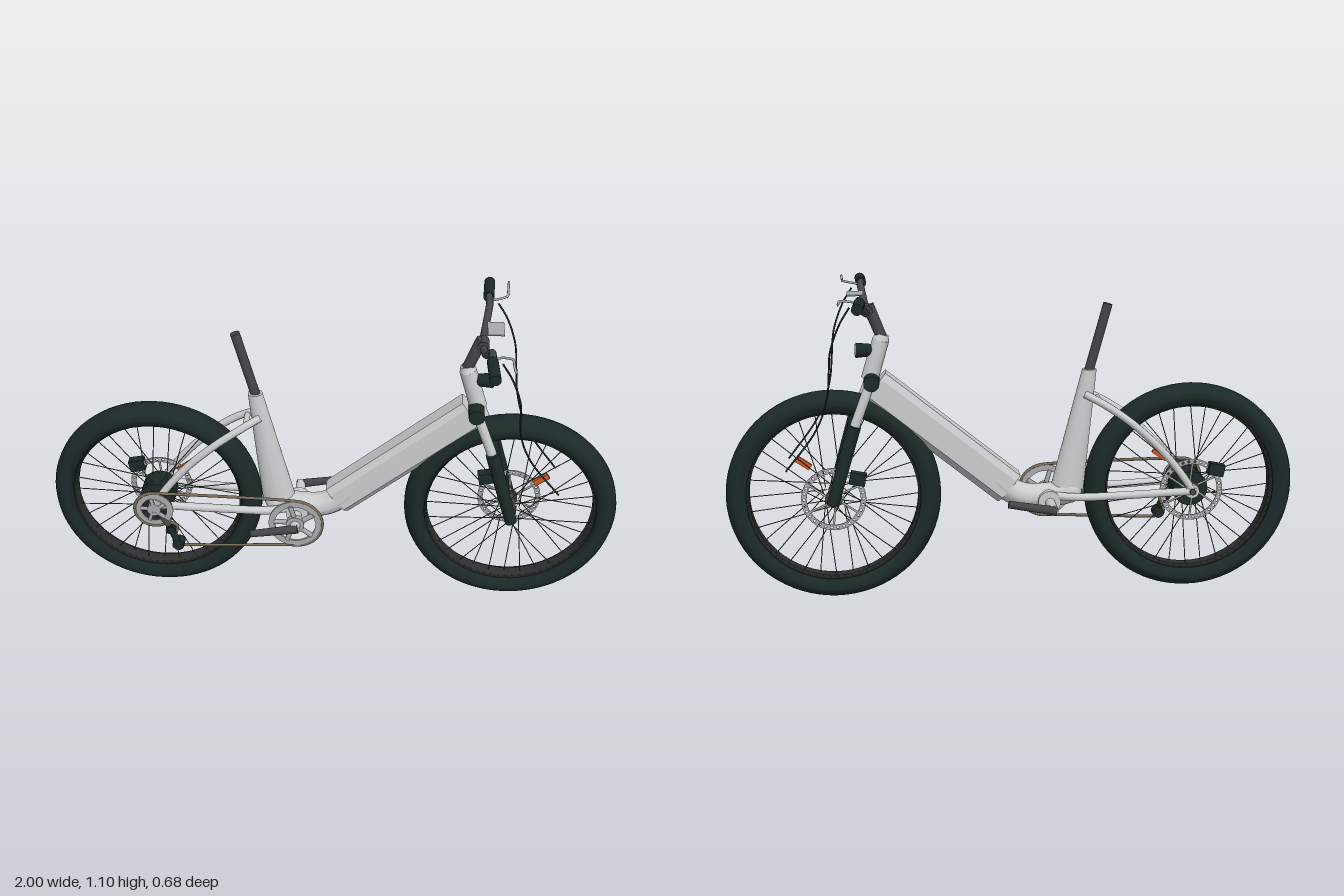
import * as THREE from 'three';

const V = (x, y, z) => new THREE.Vector3(x, y, z);
const mat = (name, color, side = THREE.FrontSide) => {
  const m = new THREE.MeshStandardMaterial({ color, side });
  m.name = name;
  return m;
};

export function createModel() {
  const frameGrey = mat('frame light grey', 0xcbcdce);
  const rubber = mat('rubber black', 0x1c2929);
  const darkGrey = mat('dark grey metal', 0x434548);
  const silver = mat('silver', 0xa9abac);
  const rimMat = mat('rim black', 0x2e2f2f);
  const spokeMat = mat('spoke grey', 0x56595a);
  const chainMat = mat('chain brass', 0x746a55);
  const orange = mat('reflector orange', 0xd4561c);

  const model = new THREE.Group();
  model.name = 'bicycle';

  const add = (name, geo, m, parent = model) => {
    const mesh = new THREE.Mesh(geo, m);
    mesh.name = name;
    parent.add(mesh);
    return mesh;
  };
  // Cylinder running from a to b
  const rod = (name, a, b, ra, rb, m, parent = model, seg = 20) => {
    const d = b.clone().sub(a);
    const mesh = add(name, new THREE.CylinderGeometry(rb, ra, d.length(), seg), m, parent);
    mesh.position.copy(a).add(b).multiplyScalar(0.5);
    mesh.quaternion.setFromUnitVectors(V(0, 1, 0), d.normalize());
    return mesh;
  };
  const tube = (name, pts, r, m, parent = model, seg = 40, closed = false) =>
    add(name, new THREE.TubeGeometry(new THREE.CatmullRomCurve3(pts, closed, 'centripetal'), seg, r, 10, closed), m, parent);
  // Flat ring in the xy plane, optionally drilled
  const ring = (name, rOut, rIn, depth, z, m, parent, holes = 0, holeR = 0) => {
    const s = new THREE.Shape().absarc(0, 0, rOut, 0, Math.PI * 2);
    s.holes.push(new THREE.Path().absarc(0, 0, rIn, 0, Math.PI * 2, true));
    for (let i = 0; i < holes; i++) {
      const a = (i / holes) * Math.PI * 2, r = (rOut + rIn) / 2;
      s.holes.push(new THREE.Path().absarc(Math.cos(a) * r, Math.sin(a) * r, holeR, 0, Math.PI * 2, true));
    }
    const g = new THREE.ExtrudeGeometry(s, { depth, bevelEnabled: false, curveSegments: 24 });
    return add(name, g.translate(0, 0, z - depth / 2), m, parent);
  };
  const arms = (name, n, r0, r1, r, z, m, parent) => {
    for (let i = 0; i < n; i++) {
      const a = (i / n) * Math.PI * 2 + 0.3;
      rod(name, V(Math.cos(a) * r0, Math.sin(a) * r0, z), V(Math.cos(a + 0.25) * r1, Math.sin(a + 0.25) * r1, z), r, r, m, parent, 6);
    }
  };
  const lathe = (name, pts, m, parent) =>
    add(name, new THREE.LatheGeometry(pts.map(p => new THREE.Vector2(...p)), 72).rotateX(Math.PI / 2), m, parent);

  // Wheels: tyre, rim, spokes, hub, brake disc, caliper, reflector
  const AX = 0.627, AY = 0.374;
  for (const side of [-1, 1]) {
    const w = new THREE.Group();
    w.name = side > 0 ? 'frontWheel' : 'rearWheel';
    w.position.set(side * AX, AY, 0);
    model.add(w);
    lathe('tyre', [[0.302, -0.036], [0.318, -0.047], [0.335, -0.052], [0.352, -0.046], [0.366, -0.029], [0.373, -0.01],
      [0.373, 0.01], [0.366, 0.029], [0.352, 0.046], [0.335, 0.052], [0.318, 0.047], [0.302, 0.036], [0.302, -0.036]], rubber, w);
    lathe('rim', [[0.293, -0.02], [0.306, -0.036], [0.306, 0.036], [0.293, 0.02], [0.293, -0.02]], rimMat, w);
    for (let i = 0; i < 32; i++) {
      const a = (i / 32) * Math.PI * 2, z = i % 2 ? 0.032 : -0.032;
      const b = a + (i % 4 < 2 ? 0.9 : -0.9);
      rod('spoke', V(Math.cos(b) * 0.035, Math.sin(b) * 0.035, z), V(Math.cos(a) * 0.297, Math.sin(a) * 0.297, z * 0.2), 0.0018, 0.0018, spokeMat, w, 5);
    }
    const hubR = side > 0 ? 0.022 : 0.062;
    rod('hub', V(0, 0, -0.046), V(0, 0, 0.042), hubR, hubR, side > 0 ? darkGrey : rubber, w, 32);
    rod('axle', V(0, 0, -0.095), V(0, 0, 0.095), 0.011, 0.011, darkGrey, w);
    ring('brakeDisc', 0.112, 0.093, 0.004, -0.058, silver, w, 30, 0.0045);
    arms('brakeDiscArm', 6, 0.02, 0.095, 0.004, -0.058, silver, w);
    rod('brakeDiscCentre', V(0, 0, -0.062), V(0, 0, -0.045), 0.03, 0.03, darkGrey, w);
    const caliper = add('brakeCaliper', new THREE.BoxGeometry(0.055, 0.042, 0.035), rubber, w);
    caliper.position.set(-0.085, 0.075, -0.066);
    caliper.rotation.z = 0.2;
    const refl = add('reflector', new THREE.BoxGeometry(0.058, 0.022, 0.012), orange, w);
    refl.position.set(0.103, 0.117, 0);
    refl.rotation.z = 0.62;
  }

  // Down tube: chamfered section swept along its axis
  const hw = 0.042, hh = 0.062, c = 0.024;
  const sec = new THREE.Shape([[-hw, -hh + c], [-hw + c, -hh], [hw - c, -hh], [hw, -hh + c], [hw, hh - c], [hw - 0.01, hh], [-hw + 0.01, hh], [-hw, hh - c]]
    .map(p => new THREE.Vector2(...p)));
  const p0 = V(0.015, 0.385, 0), p1 = V(0.478, 0.762, 0), len = p0.distanceTo(p1);
  const down = add('downTube', new THREE.ExtrudeGeometry(sec, { depth: len, bevelEnabled: false }).rotateY(Math.PI / 2), frameGrey);
  down.position.copy(p0);
  down.rotation.z = Math.atan2(p1.y - p0.y, p1.x - p0.x);

  // Bottom bend and bracket shell
  tube('bottomBend', [V(-0.2, 0.365, 0), V(-0.12, 0.35, 0), V(-0.04, 0.352, 0), V(0.01, 0.375, 0), V(0.06, 0.42, 0)], 0.045, frameGrey);
  add('bendCap', new THREE.SphereGeometry(0.045, 20, 14), frameGrey).position.set(-0.2, 0.365, 0);
  rod('bracketShell', V(-0.125, 0.34, -0.055), V(-0.125, 0.34, 0.055), 0.04, 0.04, frameGrey);

  // Seat tube, flattened sideways and widening downwards, with the post
  const seatTube = new THREE.CylinderGeometry(0.025, 0.06, 0.43, 28);
  const sp = seatTube.attributes.position;
  for (let i = 0; i < sp.count; i++) {
    const t = 0.5 - sp.getY(i) / 0.43;
    sp.setXYZ(i, sp.getX(i) - 0.267 + t * 0.075, sp.getY(i) + 0.59, sp.getZ(i) * (1 - 0.35 * t));
  }
  seatTube.computeVertexNormals();
  add('seatTube', seatTube, frameGrey);
  rod('seatPost', V(-0.255, 0.76, 0), V(-0.328, 1.033, 0), 0.0165, 0.0165, darkGrey);

  // Mirrored parts: stays, fork legs, grips, levers, cables
  for (const s of [-1, 1]) {
    tube('seatStay', [V(-0.25, 0.72, s * 0.025), V(-0.31, 0.69, s * 0.05), V(-0.4, 0.63, s * 0.066), V(-0.5, 0.54, s * 0.068), V(-0.57, 0.46, s * 0.07), V(-0.63, 0.376, s * 0.074)], 0.0135, frameGrey);
    tube('chainStay', [V(-0.14, 0.358, s * 0.035), V(-0.22, 0.358, s * 0.062), V(-0.4, 0.363, s * 0.069), V(-0.64, 0.374, s * 0.076)], 0.0145, frameGrey);
    rod('dropout', V(-AX, AY, s * 0.068), V(-AX, AY, s * 0.084), 0.025, 0.025, frameGrey);

    rod('forkStanchion', V(0.49, 0.785, s * 0.062), V(0.56, 0.6, s * 0.07), 0.017, 0.017, frameGrey);
    rod('forkLowerLeg', V(0.549, 0.637, s * 0.075), V(0.63, 0.36, s * 0.079), 0.024, 0.021, rubber);

    rod('grip', V(0.517, 1.083, s * 0.222), V(0.523, 1.082, s * 0.34), 0.0185, 0.0185, rubber);
    tube('brakeLever', [V(0.525, 1.082, s * 0.2), V(0.555, 1.087, s * 0.203), V(0.58, 1.09, s * 0.218), V(0.584, 1.087, s * 0.26), V(0.588, 1.094, s * 0.32)], 0.004, silver);
    tube('brakeCable', [V(0.55, 1.068, s * 0.207), V(0.585, 1.01, s * 0.206), V(0.617, 0.92, s * 0.193), V(0.625, 0.84, s * 0.166), V(0.632, 0.765, s * 0.136),
      V(0.655, 0.68, s * 0.11), V(0.69, 0.61, s * 0.097), V(0.785, 0.485, s * 0.083)], 0.0032, rubber, model, 60);
  }
  rod('stayBridge', V(-0.3, 0.695, -0.05), V(-0.3, 0.695, 0.05), 0.01, 0.01, frameGrey);

  // Head tube, fork crown, stem and handlebar
  rod('headTube', V(0.493, 0.785, 0), V(0.452, 0.92, 0), 0.03, 0.029, frameGrey);
  rod('headTubeCollar', V(0.452, 0.92, 0), V(0.447, 0.94, 0), 0.029, 0.022, frameGrey);
  rod('forkCrown', V(0.487, 0.783, -0.081), V(0.487, 0.783, 0.081), 0.027, 0.027, rubber);
  rod('stem', V(0.447, 0.925, 0), V(0.492, 1.04, 0), 0.019, 0.02, darkGrey);
  rod('barClamp', V(0.497, 1.022, -0.025), V(0.497, 1.022, 0.025), 0.02, 0.02, darkGrey);
  const half = [[0.499, 1.021, 0.05], [0.505, 1.033, 0.095], [0.512, 1.058, 0.13], [0.518, 1.082, 0.165], [0.518, 1.087, 0.195], [0.518, 1.083, 0.25]];
  tube('handlebar', [...half.slice().reverse().map(p => V(p[0], p[1], -p[2])), V(0.498, 1.018, 0), ...half.map(p => V(...p))], 0.0125, darkGrey, model, 80);
  add('displayPlate', new THREE.BoxGeometry(0.055, 0.004, 0.09), silver).position.set(0.535, 1.08, 0);

  // Headlight
  rod('headlight', V(0.475, 0.885, 0), V(0.538, 0.885, 0), 0.02, 0.026, rubber, model, 28);
  rod('headlightLens', V(0.537, 0.885, 0), V(0.541, 0.885, 0), 0.022, 0.022, frameGrey, model, 28);

  // Chainring and cranks
  const crank = new THREE.Group();
  crank.name = 'crankset';
  crank.position.set(-0.127, 0.337, 0);
  model.add(crank);
  ring('chainring', 0.094, 0.072, 0.008, 0.107, silver, crank);
  arms('chainringArm', 5, 0.015, 0.076, 0.009, 0.107, silver, crank);
  rod('crankAxle', V(0, 0, -0.145), V(0, 0, 0.145), 0.018, 0.018, frameGrey, crank);
  rod('chainringCentre', V(0, 0, 0.098), V(0, 0, 0.118), 0.032, 0.032, silver, crank);
  for (const s of [-1, 1])
    rod('crankArm', V(s * 0.012, s * 0.002, s * 0.142), V(s * -0.155, s * -0.027, s * 0.142), 0.016, 0.013, darkGrey, crank).name = s > 0 ? 'rightCrankArm' : 'leftCrankArm';
  crank.children.filter(o => o.name.endsWith('CrankArm')).forEach(o => { o.scale.z = 0.9; });

  // Rear sprockets
  const sprockets = new THREE.Group();
  sprockets.name = 'rearSprockets';
  sprockets.position.set(-AX, AY, 0);
  model.add(sprockets);
  for (let i = 0; i < 4; i++) ring('sprocket', 0.068 - i * 0.004, 0.045, 0.004, 0.107 - i * 0.011, i ? darkGrey : silver, sprockets);
  arms('sprocketArm', 5, 0.01, 0.047, 0.007, 0.107, silver, sprockets);
  rod('sprocketCore', V(0, 0, 0.04), V(0, 0, 0.112), 0.024, 0.024, silver, sprockets);

  // Chain loop round sprocket, chainring and derailleur pulley
  const pts = [];
  const arc = (x, y, r, a0, a1, n) => {
    for (let i = 0; i <= n; i++) {
      const a = THREE.MathUtils.degToRad(a0 + ((a1 - a0) * i) / n);
      pts.push(V(x + Math.cos(a) * r, y + Math.sin(a) * r, 0.107));
    }
  };
  arc(-0.127, 0.337, 0.096, 85, -98, 12);
  arc(-0.545, 0.245, 0.02, -95, -200, 4);
  arc(-0.565, 0.3, 0.018, -30, 60, 3);
  arc(-AX, AY, 0.069, -50, -272, 14);
  tube('chain', pts, 0.0055, chainMat, model, 240, true);

  // Derailleur
  rod('derailleurCage', V(-0.575, 0.315, 0.12), V(-0.545, 0.243, 0.123), 0.012, 0.012, rubber);
  rod('derailleurPulley', V(-0.545, 0.24, 0.098), V(-0.545, 0.24, 0.134), 0.021, 0.021, rubber);
  rod('derailleurPulley', V(-0.57, 0.3, 0.098), V(-0.57, 0.3, 0.128), 0.017, 0.017, rubber);
  rod('derailleurHanger', V(-AX, AY - 0.01, 0.085), V(-0.575, 0.31, 0.115), 0.01, 0.01, darkGrey);

  return model;
}
